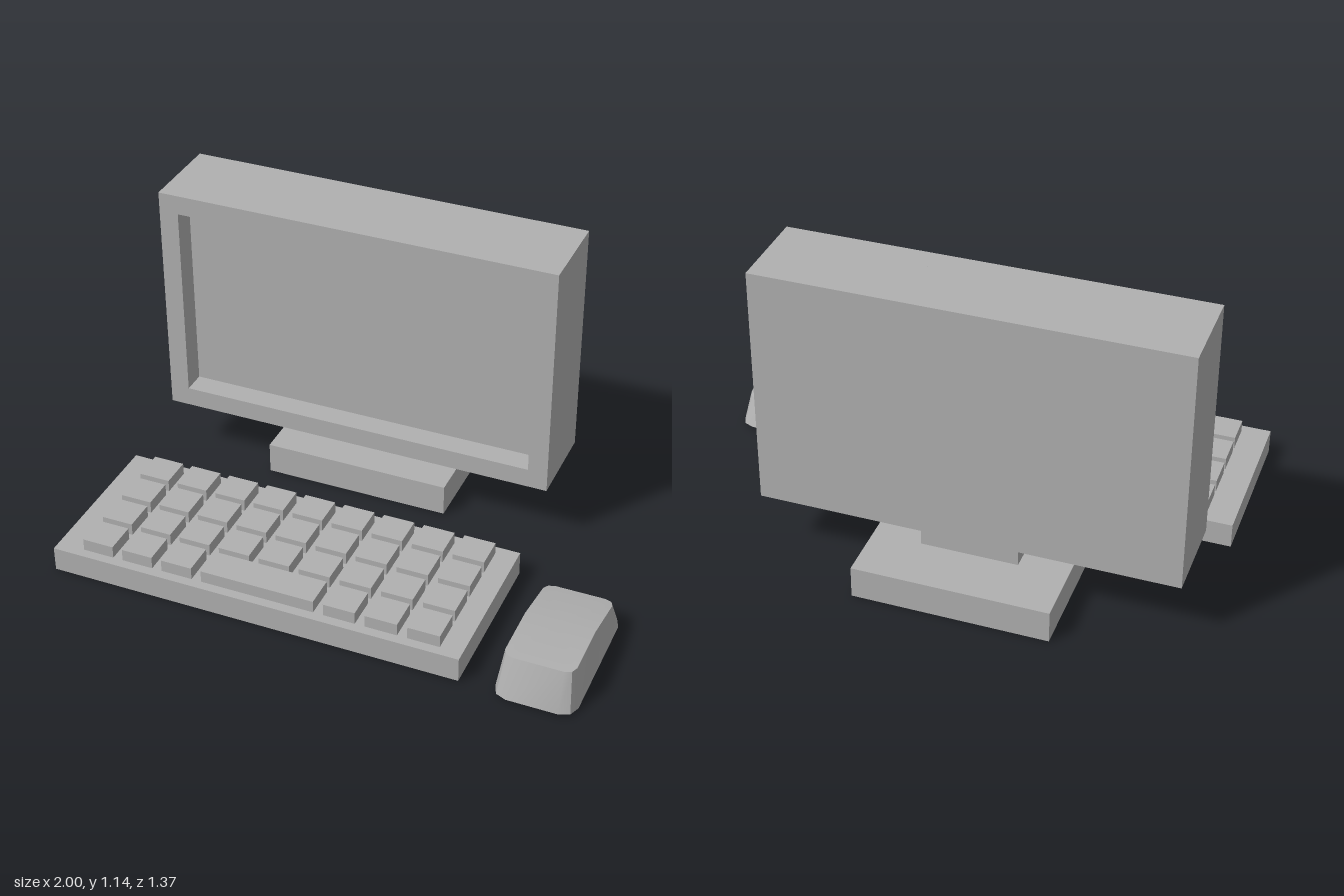
import * as THREE from 'three';
import { toCreasedNormals } from 'three/addons/utils/BufferGeometryUtils.js';

const grey = new THREE.MeshStandardMaterial({ color: 0xb0b0b0 });
grey.name = 'grey plastic';
const greyShell = new THREE.MeshStandardMaterial({ color: 0xb0b0b0, side: THREE.DoubleSide });
greyShell.name = 'grey plastic shell';

// Box given by its limits on each axis
function box(name, [x0, x1], [y0, y1], [z0, z1], material = grey) {
  const mesh = new THREE.Mesh(new THREE.BoxGeometry(x1 - x0, y1 - y0, z1 - z0), material);
  mesh.position.set((x0 + x1) / 2, (y0 + y1) / 2, (z0 + z1) / 2);
  mesh.name = name;
  return mesh;
}

function rect(path, x0, x1, y0, y1) {
  path.moveTo(x0, y0);
  path.lineTo(x1, y0);
  path.lineTo(x1, y1);
  path.lineTo(x0, y1);
  path.closePath();
  return path;
}

function buildMonitor() {
  const monitor = new THREE.Group();
  monitor.name = 'monitor';
  // Bezel surrounds the recessed screen; the housing's front is the screen
  const outline = rect(new THREE.Shape(), -0.95, 0.59, 0.228, 1.145);
  outline.holes.push(rect(new THREE.Path(), -0.875, 0.515, 0.303, 1.07));
  const bezel = new THREE.Mesh(
    new THREE.ExtrudeGeometry(outline, { depth: 0.09, bevelEnabled: false }), grey);
  bezel.position.z = -0.29;
  bezel.name = 'bezel';
  monitor.add(
    bezel,
    box('housing', [-0.95, 0.59], [0.228, 1.145], [-0.535, -0.29]),
    box('neck', [-0.355, 0.005], [0.12, 0.228], [-0.475, -0.357]),
    box('standBase', [-0.538, 0.187], [0, 0.122], [-0.687, -0.207]));
  return monitor;
}

function buildKeyboard() {
  const keyboard = new THREE.Group();
  keyboard.name = 'keyboard';
  // Tray is a thin shell, open underneath
  const tray = box('tray', [-1, 0.573], [0.003, 0.098], [0.025, 0.653], greyShell);
  const index = Array.from(tray.geometry.index.array);
  index.splice(18, 6);
  tray.geometry.setIndex(index);
  tray.geometry.clearGroups();
  keyboard.add(tray);

  const size = 0.12, pitchX = 0.158, pitchZ = 0.145;
  for (let row = 0; row < 4; row++) {
    for (let col = 0; col < 9; col++) {
      const isBar = row === 3 && col === 3;
      const x = -0.894 + col * pitchX;
      const z = 0.062 + row * pitchZ;
      const width = isBar ? 2 * pitchX + size : size;
      keyboard.add(box(isBar ? 'spaceBar' : 'key', [x, x + width], [0.092, 0.145], [z, z + size]));
      if (isBar) col += 2;
    }
  }
  return keyboard;
}

// Rounded rectangle in x/z with an extra point on each long side at the crease
function mouseLoop(halfWidth, zBack, zFront, radius, creaseZ, height) {
  const points = [];
  const cx = 0.848;
  const corner = (sx, z, start) => {
    for (let i = 0; i < 3; i++) {
      const a = start + i * Math.PI / 4;
      const px = cx + sx * (halfWidth - radius) + radius * Math.cos(a);
      const pz = z + radius * Math.sin(a);
      points.push([px, height(pz), pz]);
    }
  };
  points.push([cx + halfWidth, height(creaseZ), creaseZ]);
  corner(1, zFront - radius, 0);
  corner(-1, zFront - radius, Math.PI / 2);
  points.push([cx - halfWidth, height(creaseZ), creaseZ]);
  corner(-1, zBack + radius, Math.PI);
  corner(1, zBack + radius, Math.PI * 1.5);
  return points;
}

function buildMouse() {
  // Tapered shell, open underneath, with the top sloping down to the back
  const creaseZ = 0.405;
  const topHeight = z => 0.16 - 0.2 * Math.max(0, creaseZ - z);
  const bottom = mouseLoop(0.148, 0.125, 0.687, 0.055, creaseZ, () => 0.01);
  const top = mouseLoop(0.127, 0.172, 0.64, 0.035, creaseZ, topHeight);
  const n = top.length;
  const index = [];
  for (let i = 0; i < n; i++) {
    const j = (i + 1) % n;
    index.push(i, n + i, j, j, n + i, n + j);
    index.push(2 * n, n + j, n + i);
  }
  const geometry = new THREE.BufferGeometry();
  geometry.setAttribute('position', new THREE.Float32BufferAttribute(
    [...bottom, ...top, [0.848, 0.16, creaseZ]].flat(), 3));
  geometry.setIndex(index);
  const mouse = new THREE.Mesh(toCreasedNormals(geometry, 0.5), greyShell);
  mouse.name = 'mouse';
  return mouse;
}

export function createModel() {
  const model = new THREE.Group();
  model.name = 'desktopComputer';
  model.add(buildMonitor(), buildKeyboard(), buildMouse());
  return model;
}
